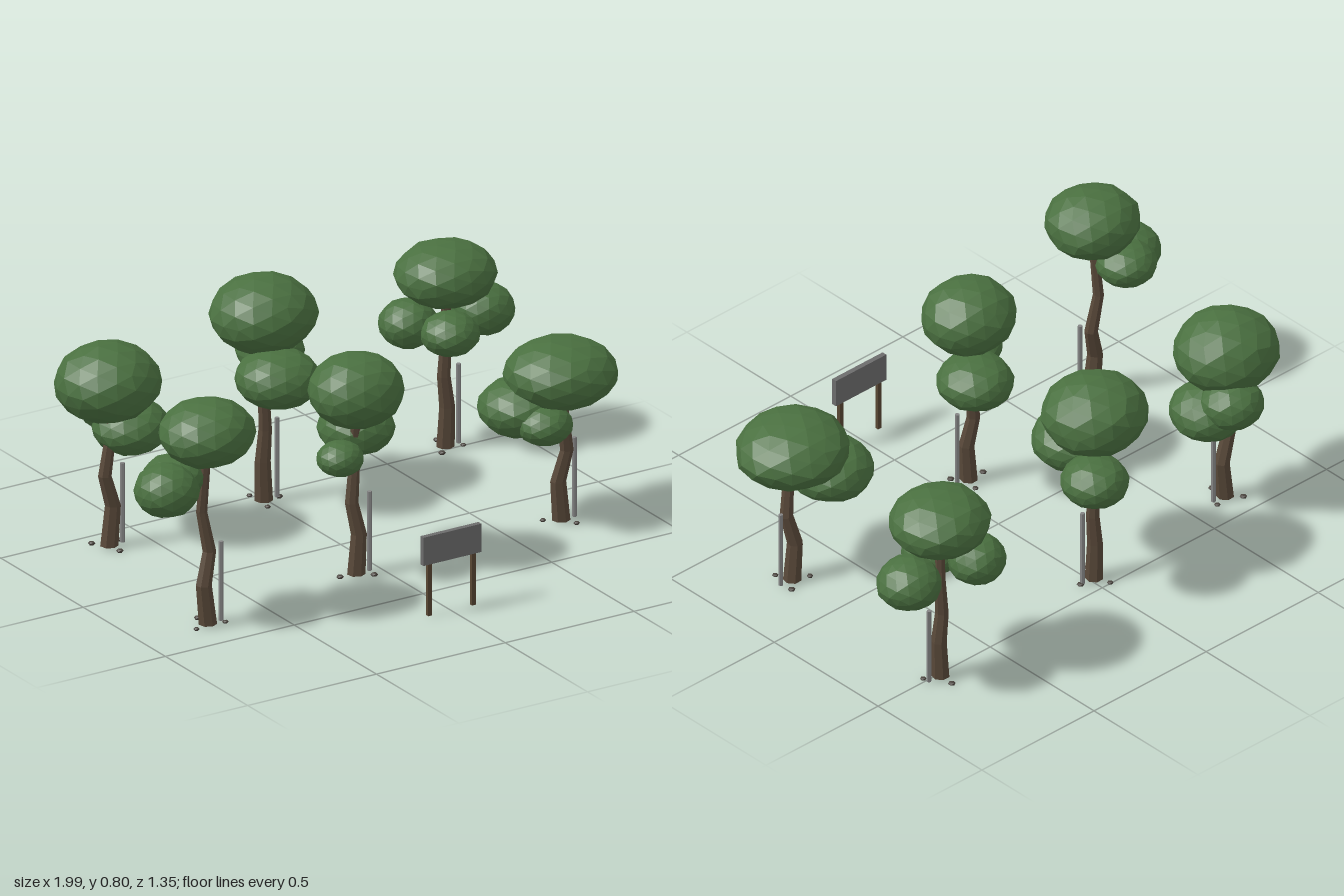
import * as THREE from 'three';

const mat = (color) => new THREE.MeshStandardMaterial({ color, flatShading: true });

// Each tree: trunk foot [x, z], trunk bend [x, z], leaf clumps [x, y, z, radius, half height] with the crown first
const TREES = [
  { foot: [-0.74, 0.35], bend: [-0.015, -0.02],
    clumps: [[-0.74, 0.685, 0.345, 0.165, 0.115], [-0.89, 0.51, 0.335, 0.11, 0.09], [-0.82, 0.52, 0.27, 0.105, 0.075]] },
  { foot: [-0.1, 0.25], bend: [0.01, -0.02],
    clumps: [[-0.1, 0.66, 0.25, 0.165, 0.127], [-0.035, 0.48, 0.15, 0.13, 0.09], [-0.2, 0.46, 0.31, 0.08, 0.06]] },
  { foot: [0.715, 0.22], bend: [-0.012, 0.025],
    clumps: [[0.715, 0.53, 0.22, 0.197, 0.117], [0.592, 0.42, 0.17, 0.147, 0.1], [0.607, 0.395, 0.29, 0.095, 0.07]] },
  { foot: [-0.65, -0.39], bend: [0.015, 0],
    clumps: [[-0.655, 0.59, -0.39, 0.183, 0.135], [-0.555, 0.405, -0.41, 0.132, 0.095], [-0.585, 0.46, -0.49, 0.11, 0.085]] },
  { foot: [-0.015, -0.445], bend: [-0.004, 0.005],
    clumps: [[-0.013, 0.67, -0.45, 0.184, 0.132], [-0.04, 0.49, -0.32, 0.145, 0.1], [0.075, 0.487, -0.545, 0.115, 0.085]] },
  { foot: [0.735, -0.515], bend: [0.006, -0.004],
    clumps: [[0.735, 0.622, -0.512, 0.175, 0.11], [0.89, 0.458, -0.53, 0.11, 0.09], [0.625, 0.45, -0.57, 0.1, 0.085], [0.7, 0.445, -0.43, 0.1, 0.075]] },
];

// Bent, tapering trunk: the rings of a cylinder zigzag from the foot up into the crown
function trunkGeometry([footX, footZ], [bendX, bendZ], [crownX, crownY, crownZ]) {
  const zigzag = [0, 1, -1, 0.6, 0], sway = [0, 0, 0.6, 1, 0];
  const heights = [0.01, 0.15, 0.26, 0.4, crownY - 0.06];
  const geo = new THREE.CylinderGeometry(1, 1, 1, 7, 4);
  const pos = geo.attributes.position;
  for (let i = 0; i < pos.count; i++) {
    const ring = Math.round((pos.getY(i) + 0.5) * 4);
    const r = 0.031 - 0.004 * ring;
    const x = THREE.MathUtils.lerp(footX, crownX, ring / 4) + bendX * zigzag[ring];
    const z = THREE.MathUtils.lerp(footZ, crownZ, ring / 4) + bendZ * sway[ring];
    pos.setXYZ(i, x + pos.getX(i) * r, heights[ring], z + pos.getZ(i) * r);
  }
  geo.computeVertexNormals();
  return geo;
}

// Slightly uneven faceted ball
function lumpGeometry(detail, seed) {
  const geo = new THREE.IcosahedronGeometry(1, detail);
  const pos = geo.attributes.position;
  const v = new THREE.Vector3();
  for (let i = 0; i < pos.count; i++) {
    v.fromBufferAttribute(pos, i);
    v.multiplyScalar(0.985 + 0.025 * Math.sin(v.x * 5 + seed) * Math.cos(v.y * 6 + v.z * 4 + seed * 2));
    pos.setXYZ(i, v.x, v.y, v.z);
  }
  geo.computeVertexNormals();
  return geo;
}

export function createModel() {
  const model = new THREE.Group();
  model.name = 'treeGrove';
  const leaf = mat(0x4a7040), bark = mat(0x584839), pebbleMat = mat(0x4a443e);
  const stakeMat = mat(0x858585), boardMat = mat(0x6c6c6c), postMat = mat(0x584632);

  const add = (parent, name, geo, material, x = 0, y = 0, z = 0) => {
    const mesh = new THREE.Mesh(geo, material);
    mesh.name = name;
    mesh.position.set(x, y, z);
    parent.add(mesh);
    return mesh;
  };

  TREES.forEach(({ foot, bend, clumps }, t) => {
    const tree = new THREE.Group();
    tree.name = 'tree' + (t + 1);
    model.add(tree);
    const [footX, footZ] = foot;

    add(tree, 'trunk', trunkGeometry(foot, bend, clumps[0]), bark);

    // Leaf clumps: one large crown, a little narrower in z, and smaller lower ones
    clumps.forEach(([x, y, z, r, halfHeight], i) => {
      const clump = add(tree, i ? 'lowerFoliage' : 'crown', lumpGeometry(2, t * 1.7 + i), leaf, x, y, z);
      clump.scale.set(r, halfHeight, i ? r : r * 0.95);
    });

    // Support stake beside the trunk
    add(tree, 'stake', new THREE.CylinderGeometry(0.008, 0.008, 0.28, 6), stakeMat, footX + 0.052, 0.15, footZ);

    // Pebbles around the foot
    for (let i = 0; i < 3; i++) {
      const angle = 2.8 + i * 1.9 + t * 0.4;
      const s = 0.011 + 0.002 * ((i + t) % 2);
      const pebble = add(tree, 'pebble', lumpGeometry(0, i), pebbleMat,
        footX + 0.06 * Math.cos(angle), 0.01, footZ + 0.06 * Math.sin(angle));
      pebble.scale.set(s, s * 0.6, s);
    }
  });

  // Sign: blank board on two posts
  const sign = new THREE.Group();
  sign.name = 'sign';
  sign.position.z = 0.67;
  model.add(sign);
  add(sign, 'board', new THREE.BoxGeometry(0.225, 0.1, 0.018), boardMat, 0, 0.238, 0);
  for (const side of [-1, 1]) {
    add(sign, 'post', new THREE.BoxGeometry(0.015, 0.2, 0.013), postMat, side * 0.085, 0.105, 0);
  }
  return model;
}
